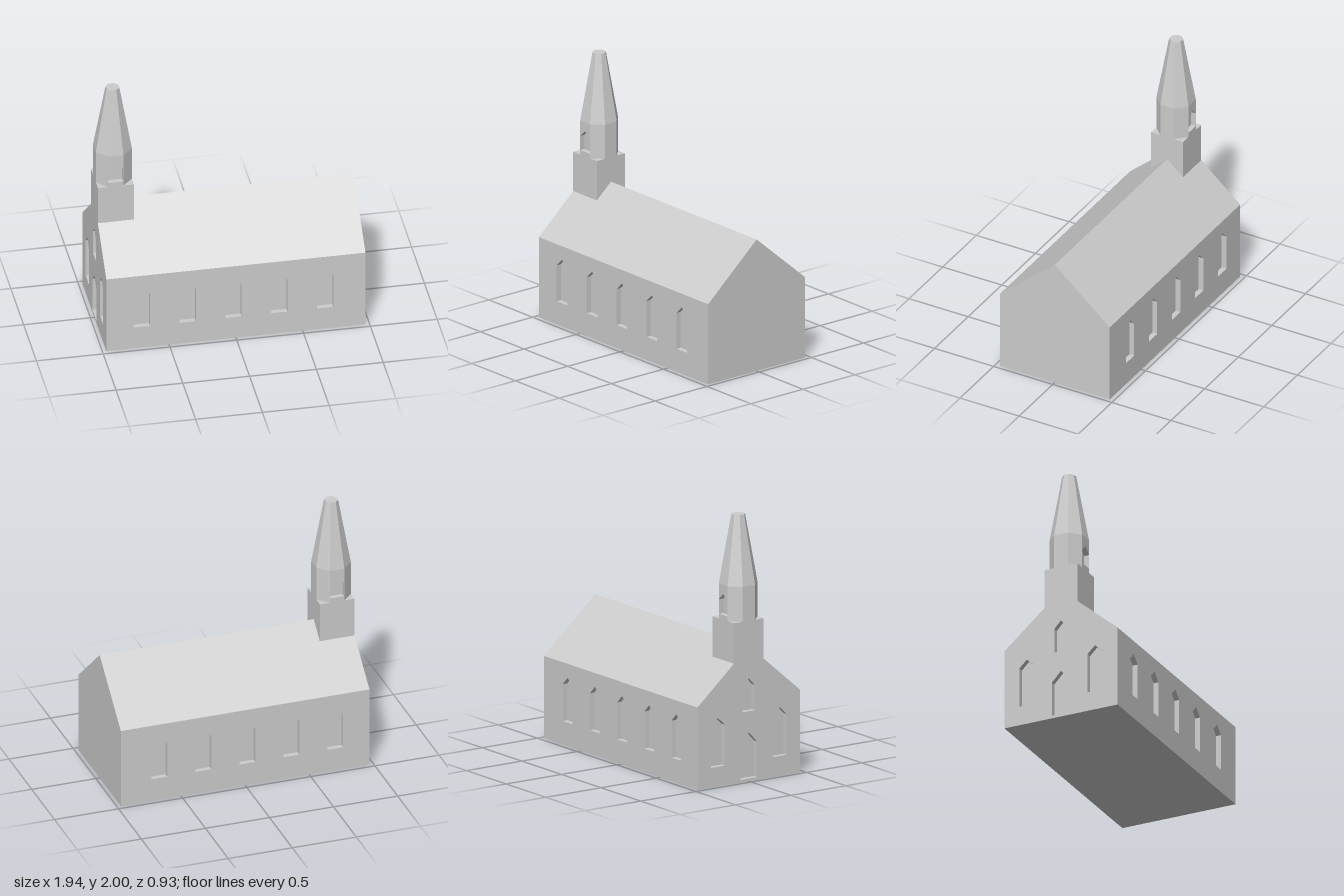
import * as THREE from 'three';

const HX = 0.97, HZ = 0.465, EAVE = 0.625, RIDGE = 1.025, RECESS = 0.04;

export function createModel() {
  const stone = new THREE.MeshStandardMaterial({ color: 0xcccccc, flatShading: true });
  const group = new THREE.Group();
  group.name = 'church';

  const add = (parent, name, geometry) => {
    const mesh = new THREE.Mesh(geometry, stone);
    mesh.name = name;
    parent.add(mesh);
    return mesh;
  };

  // Flat four-cornered faces, corners counter-clockwise from outside
  const quads = (list) => {
    const pos = [];
    for (const [a, b, c, d] of list) pos.push(...a, ...b, ...c, ...a, ...c, ...d);
    const g = new THREE.BufferGeometry();
    g.setAttribute('position', new THREE.Float32BufferAttribute(pos, 3));
    g.computeVertexNormals();
    return g;
  };

  // Pointed window outline: centre, half width, sill, shoulder, tip
  const pointed = (x, w, sill, shoulder, tip) =>
    [[x - w, sill], [x + w, sill], [x + w, shoulder], [x, tip], [x - w, shoulder]];
  const toVectors = (pts) => pts.map(([x, y]) => new THREE.Vector2(x, y));

  // Wall facing +z with pointed niches sunk into it
  const wall = (name, outline, windows, depth = RECESS) => {
    const part = new THREE.Group();
    part.name = name;
    const shape = new THREE.Shape(toVectors(outline));
    for (const pts of windows) {
      shape.holes.push(new THREE.Path(toVectors(pts)));
      add(part, 'windowPanel', new THREE.ShapeGeometry(new THREE.Shape(toVectors(pts)))).position.z = -depth;
      add(part, 'windowReveal', quads(pts.map((a, i) => {
        const b = pts[(i + 1) % pts.length];
        return [[...a, 0], [...b, 0], [...b, -depth], [...a, -depth]];
      })));
    }
    add(part, name + 'Face', new THREE.ShapeGeometry(shape));
    group.add(part);
    return part;
  };

  // Long walls, five windows each
  const sideOutline = [[-HX, 0], [HX, 0], [HX, EAVE], [-HX, EAVE]];
  for (const s of [1, -1]) {
    const windows = [];
    for (let i = -2; i <= 2; i++) windows.push(pointed(s * (-0.018 + i * 0.343), 0.061, 0.18, 0.46, 0.52));
    const side = wall(s > 0 ? 'frontWall' : 'backWall', sideOutline, windows);
    side.position.z = s * HZ;
    side.rotation.y = s > 0 ? 0 : Math.PI;
  }

  // Gable ends: one plain, one with door and windows
  const gable = [[-HZ, 0], [HZ, 0], [HZ, EAVE], [0, RIDGE], [-HZ, EAVE]];
  const plainGable = wall('plainGable', gable, []);
  plainGable.position.x = HX;
  plainGable.rotation.y = Math.PI / 2;
  const entranceGable = wall('entranceGable', gable, [
    pointed(-0.28, 0.062, 0.15, 0.46, 0.52),
    pointed(0.28, 0.062, 0.15, 0.46, 0.52),
    pointed(0, 0.075, 0.02, 0.29, 0.37),
    pointed(0, 0.055, 0.53, 0.72, 0.78),
  ]);
  entranceGable.position.x = -HX;
  entranceGable.rotation.y = -Math.PI / 2;

  // Roof slopes and floor
  add(group, 'roof', quads([
    [[-HX, EAVE, HZ], [HX, EAVE, HZ], [HX, RIDGE, 0], [-HX, RIDGE, 0]],
    [[HX, EAVE, -HZ], [-HX, EAVE, -HZ], [-HX, RIDGE, 0], [HX, RIDGE, 0]],
  ]));
  add(group, 'floor', quads([[[-HX, 0, -HZ], [HX, 0, -HZ], [HX, 0, HZ], [-HX, 0, HZ]]]));

  // Tower base, flush with the entrance gable
  const half = 0.135, towerX = -HX + half, baseTop = 1.215, drumTop = 1.48;
  add(group, 'towerBase', new THREE.BoxGeometry(2 * half, baseTop - 0.9, 2 * half))
    .position.set(towerX, (baseTop + 0.9) / 2, 0);

  // Eight-sided belfry with a niche at front and back
  const radius = half / Math.cos(Math.PI / 8), faceHalf = half * Math.tan(Math.PI / 8);
  const drumHeight = drumTop - baseTop;
  for (let k = 0; k < 8; k++) {
    const angle = k * Math.PI / 4;
    if (k % 4) {
      add(group, 'belfryFace', new THREE.CylinderGeometry(radius, radius, drumHeight, 1, 1, true,
        angle - Math.PI / 8, Math.PI / 4)).position.set(towerX, baseTop + drumHeight / 2, 0);
    } else {
      const face = wall('belfryWindowWall',
        [[-faceHalf, baseTop], [faceHalf, baseTop], [faceHalf, drumTop], [-faceHalf, drumTop]],
        [pointed(0, faceHalf - 0.001, 1.25, 1.36, 1.41)]);
      face.position.set(towerX, 0, k ? -half : half);
      face.rotation.y = angle;
    }
  }

  // Blunt eight-sided spire
  const tip = 0.048 / Math.cos(Math.PI / 8);
  add(group, 'spire', new THREE.CylinderGeometry(tip, radius, 2 - drumTop, 8, 1, false, Math.PI / 8))
    .position.set(towerX, (2 + drumTop) / 2, 0);

  return group;
}
